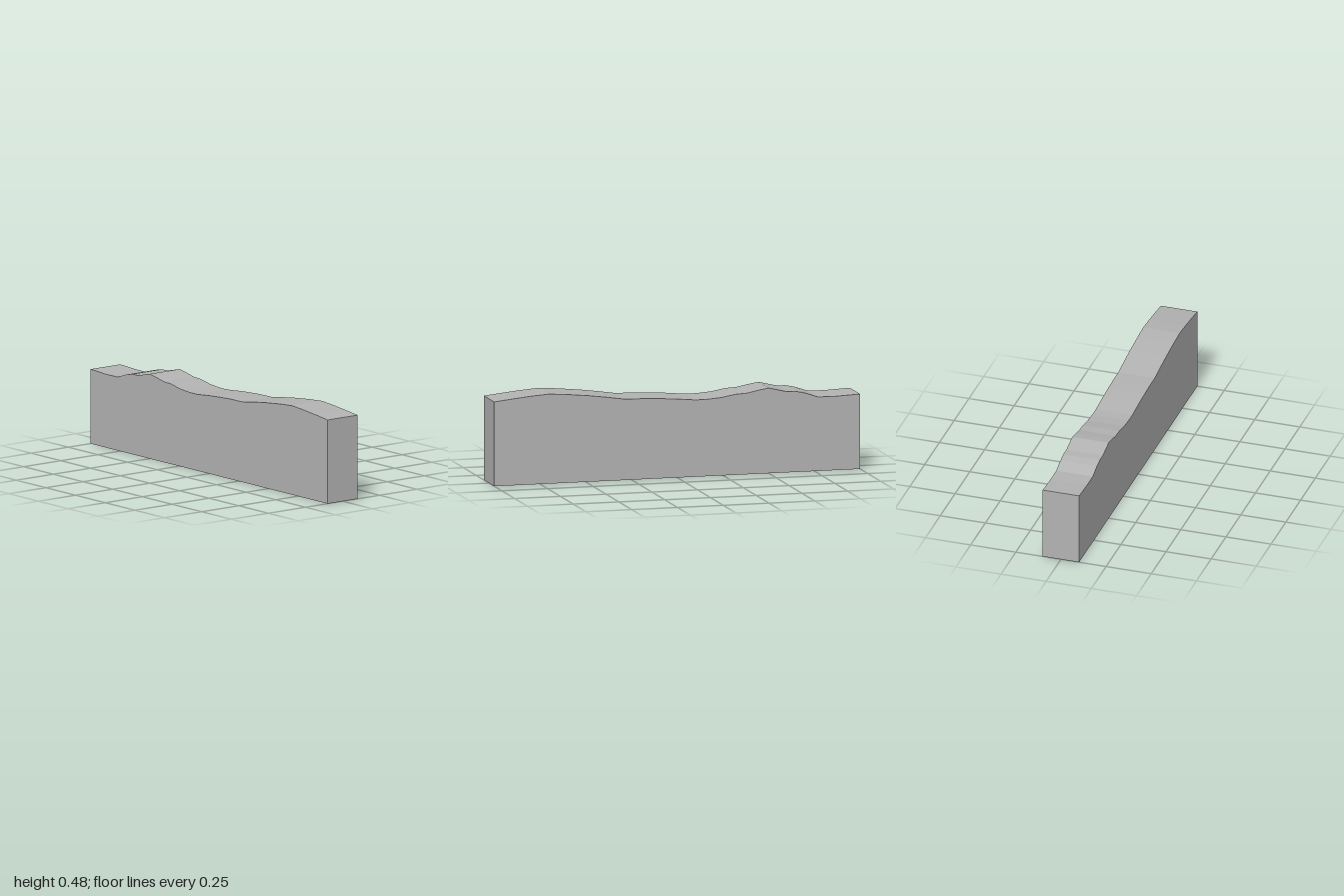
import * as THREE from 'three';

export function createModel() {
  const group = new THREE.Group();
  group.name = 'wavyWall';

  const stone = new THREE.MeshStandardMaterial({ color: 0xb2b2b2, flatShading: true });
  stone.name = 'stone grey';

  // Rolling top edge, from right end to left end
  const ridge = [
    [-1, 0.4], [-0.86, 0.394], [-0.77, 0.395], [-0.7, 0.419], [-0.65, 0.43], [-0.6, 0.431],
    [-0.5, 0.455], [-0.44, 0.445], [-0.38, 0.433], [-0.32, 0.43], [-0.24, 0.416], [-0.16, 0.41],
    [-0.1, 0.41], [0.02, 0.421], [0.1, 0.426], [0.18, 0.43], [0.28, 0.431], [0.38, 0.446],
    [0.48, 0.459], [0.6, 0.471], [0.7, 0.478], [0.8, 0.471], [0.9, 0.461], [1, 0.45],
  ];
  const profile = new THREE.Shape();
  profile.moveTo(-1, 0);
  profile.lineTo(1, 0);
  [...ridge].reverse().forEach(([x, y]) => profile.lineTo(x, y));
  profile.closePath();

  // Solid wall, extruded through its thickness and centred on z
  const depth = 0.202;
  const geometry = new THREE.ExtrudeGeometry(profile, { depth, bevelEnabled: false });
  geometry.translate(0, 0, -depth / 2);
  const wall = new THREE.Mesh(geometry, stone);
  wall.name = 'wall';
  group.add(wall);

  return group;
}
